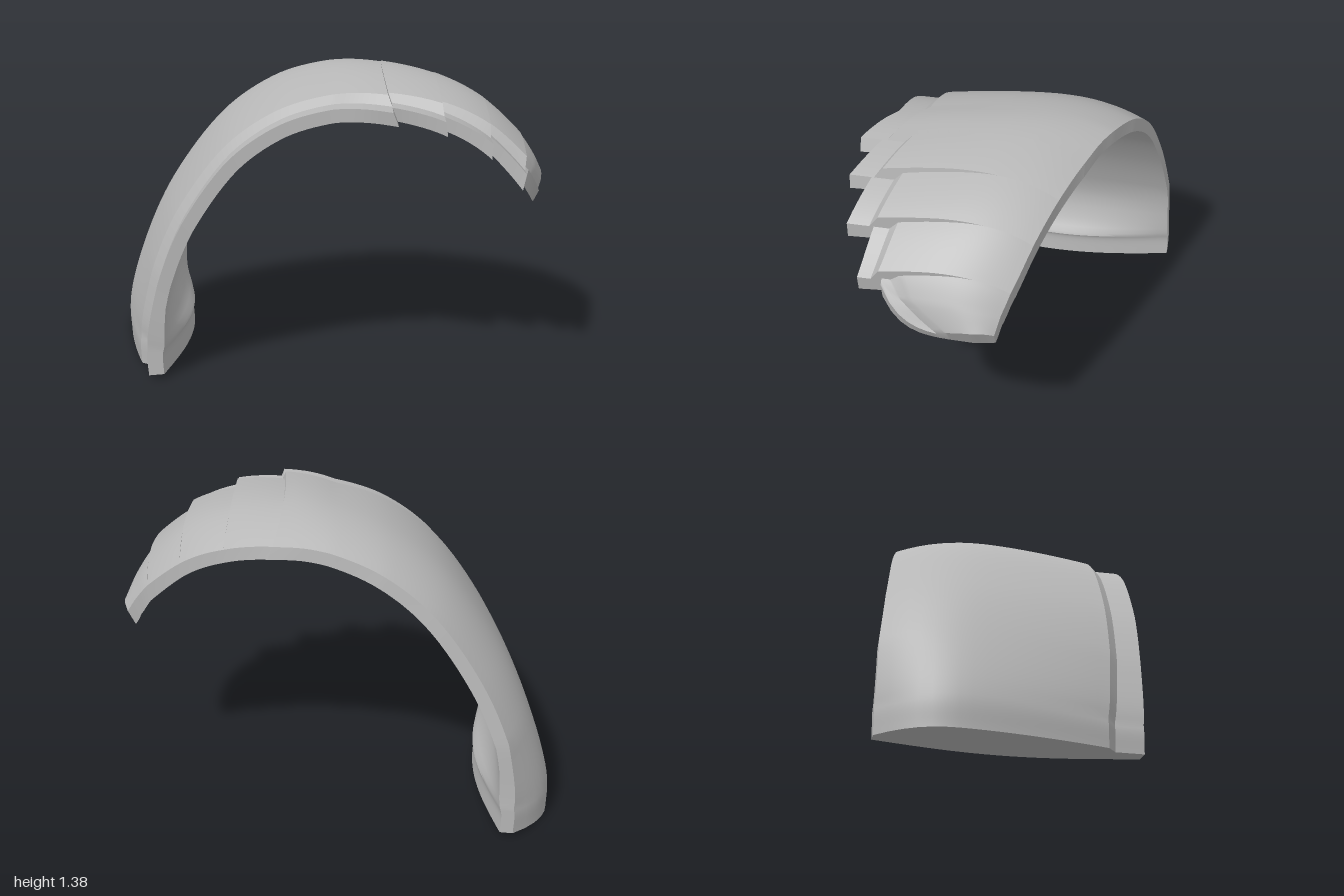
import * as THREE from 'three';
import { toCreasedNormals } from 'three/addons/utils/BufferGeometryUtils.js';

const { clamp, lerp, smoothstep } = THREE.MathUtils;

// Crest line of the arch, from the foot over the top to the tip
const CREST = new THREE.CatmullRomCurve3([
  [-1, 0], [-1, 0.15], [-0.89, 0.51], [-0.745, 0.8], [-0.5, 1.115], [-0.25, 1.285], [0, 1.362],
  [0.2, 1.378], [0.48, 1.335], [0.7, 1.235], [0.88, 1.07], [0.95, 0.97], [1, 0.87],
].map(([x, y]) => new THREE.Vector3(x, y, 0)), false, 'centripetal');

// Values at each crest point: rear edge, and the fall of the dome to its rear and front edges
const REAR = [-0.66, -0.66, -0.645, -0.61, -0.56, -0.51, -0.44, -0.365, -0.28, -0.21, -0.14, -0.11, -0.09];
const REAR_FALL = [0.18, 0.18, 0.115, 0.1, 0.085, 0.07, 0.065, 0.08, 0.08, 0.07, 0.05, 0.04, 0.03];
const FRONT_FALL = [0.12, 0.12, 0.08, 0.06, 0.05, 0.045, 0.045, 0.045, 0.04, 0.035, 0.03, 0.03, 0.025];
// Sideways lean of the plate cuts past the top, as [t, x] pairs
const LEAN = [[6, -0.25], [7.15, -0.36], [8, -0.14], [9, 0.04], [10, 0.18], [12, 0.48]];
const THICK = 0.06;
const MAIN = 18, LIP = 6;

function sample(list, t) {
  const i = Math.min(Math.floor(t), list.length - 2);
  return lerp(list[i], list[i + 1], t - i);
}

function along(pairs, t) {
  for (let i = 1; i < pairs.length; i++) {
    const [t0, v0] = pairs[i - 1], [t1, v1] = pairs[i];
    if (t <= t1 || i === pairs.length - 1) return lerp(v0, v1, clamp((t - t0) / (t1 - t0), 0, 1));
  }
}

// Point at crest position t, sunk by a depth measured square to the crest
function place(t, depth, z) {
  const p = CREST.getPoint(t / 12);
  const d = CREST.getTangent(t / 12);
  const k = smoothstep(p.y, 0, 0.3);
  let nx = lerp(-1, -d.y, k), ny = lerp(-0.09, d.x, k);
  if (t > 6) {
    const lean = along(LEAN, t), rise = Math.sqrt(1 - lean * lean);
    const blend = smoothstep(t, 6, 7);
    nx = lerp(nx, lean, blend);
    ny = lerp(ny, rise, blend);
  }
  const sink = depth / (d.x * ny - d.y * nx);
  return [p.x - nx * sink, p.y - ny * sink, z];
}

// Each panel: crest range, then raised edge and lip edge as [t, z] pairs
const PANELS = [
  { name: 'mainShell', range: [0, 7.15], steps: 50, raise: 0.008, growFrom: 6,
    ridge: [[0, 0.31], [1, 0.31], [2, 0.345], [4, 0.375], [6, 0.405], [7.15, 0.5]],
    lip: [[0, 0.475], [1, 0.475], [2, 0.49], [4, 0.525], [6, 0.55], [7.15, 0.66]] },
  { name: 'upperPlate', range: [7.15, 8.03], steps: 8, raise: 0.01, growFrom: 7.15,
    ridge: [[7.15, 0.42], [8.03, 0.5]], lip: [[7.15, 0.56], [8.03, 0.65]] },
  { name: 'middlePlate', range: [8.03, 9.05], steps: 8, raise: 0.01, growFrom: 8.03,
    ridge: [[8.03, 0.41], [9.05, 0.47]], lip: [[8.03, 0.55], [9.05, 0.61]] },
  { name: 'lowerPlate', range: [9.05, 10], steps: 8, raise: 0.01, growFrom: 9.05,
    ridge: [[9.05, 0.38], [10, 0.43]], lip: [[9.05, 0.49], [10, 0.53]] },
  { name: 'tipPlate', range: [10, 12], steps: 14, raise: 0, growFrom: 10, rounded: true,
    ridge: [[10, 0.34], [11, 0.29], [12, 0.12]], lip: [[10, 0.42], [12, 0.42]] },
];

// One cross-section: domed outer skin rear to front, and the flatter inner skin below it
function section(panel, u) {
  const [t0, t1] = panel.range;
  const tc = lerp(t0, t1, u);
  const rear = sample(REAR, tc), ridge = along(panel.ridge, tc), lip = along(panel.lip, tc);
  const rearFall = sample(REAR_FALL, tc), frontFall = sample(FRONT_FALL, tc);
  const step = panel.rounded ? 0.025 : lerp(0.05, 0.035, clamp(tc / 4, 0, 1));
  const crest = lerp(0.32, 0.47, clamp(tc / 6, 0, 1));
  const foot = 1 - smoothstep(tc, 1, 1.8);
  const grow = clamp((tc - panel.growFrom) / (t1 - panel.growFrom), 0, 1);
  const zs = [];
  for (let j = 0; j <= MAIN; j++) zs.push(lerp(rear, ridge, j / MAIN));
  for (let j = 0; j <= LIP; j++) zs.push(lerp(ridge + 0.04, lip, j / LIP));

  const outer = [], inner = [];
  zs.forEach((z, j) => {
    const s = clamp((z - rear) / (ridge - rear), 0, 1);
    const across = (z - rear) / (lip - rear);
    const back = s < crest ? rearFall * ((crest - s) / crest) ** 2.2 : 0;
    const front = s > crest ? ((s - crest) / (1 - crest)) ** 1.6 : 0;
    // Plates lift towards the far edge, where they overlap the next one
    const lift = j <= MAIN ? panel.raise * grow * clamp((z + 0.1) / 0.3, 0, 1) : 0;
    const outDepth = back + front * frontFall + (j > MAIN ? step : 0) - lift;
    // Inner skin runs almost straight across, bowing inwards at the solid foot
    const bow = Math.sin(Math.PI * across);
    const inDepth = lerp(lerp(rearFall, frontFall + step, across) + THICK - 0.012 * bow,
      0.24 + 0.09 * bow, foot);
    // Rounded end of the tip
    let t = tc;
    if (panel.rounded) {
      const end = 12 - 1.75 * clamp(z / 0.42, 0, 1) ** 4 - 0.2 * clamp(-z / 0.1, 0, 1);
      t = lerp(t0, end, u);
    }
    outer.push(place(t, outDepth, z));
    inner.push(place(t, inDepth, z));
  });
  return { outer, inner };
}

// Closed shell lofted through the sections, capped at both ends
function panelGeometry(panel) {
  const positions = [], index = [];
  const n = MAIN + LIP + 2, ring = 2 * n;
  for (let i = 0; i <= panel.steps; i++) {
    const { outer, inner } = section(panel, i / panel.steps);
    positions.push(...outer.flat(), ...inner.reverse().flat());
  }
  for (let i = 0; i < panel.steps; i++) {
    for (let j = 0; j < ring; j++) {
      const a = i * ring + j, b = i * ring + (j + 1) % ring;
      index.push(a, b, a + ring, b, b + ring, a + ring);
    }
  }
  const last = panel.steps * ring;
  for (let j = 0; j < n - 1; j++) {
    const o = j, o1 = j + 1, q = ring - 1 - j, q1 = ring - 2 - j;
    index.push(o, q, o1, o1, q, q1);
    index.push(last + o, last + o1, last + q, last + o1, last + q1, last + q);
  }
  const geometry = new THREE.BufferGeometry();
  geometry.setAttribute('position', new THREE.Float32BufferAttribute(positions, 3));
  geometry.setIndex(index);
  return toCreasedNormals(geometry, 0.55);
}

export function createModel() {
  const model = new THREE.Group();
  model.name = 'shoulderGuard';
  const grey = new THREE.MeshStandardMaterial({ color: 0xb8b8b8 });
  grey.name = 'plainGrey';
  for (const panel of PANELS) {
    const mesh = new THREE.Mesh(panelGeometry(panel), grey);
    mesh.name = panel.name;
    model.add(mesh);
  }
  return model;
}
